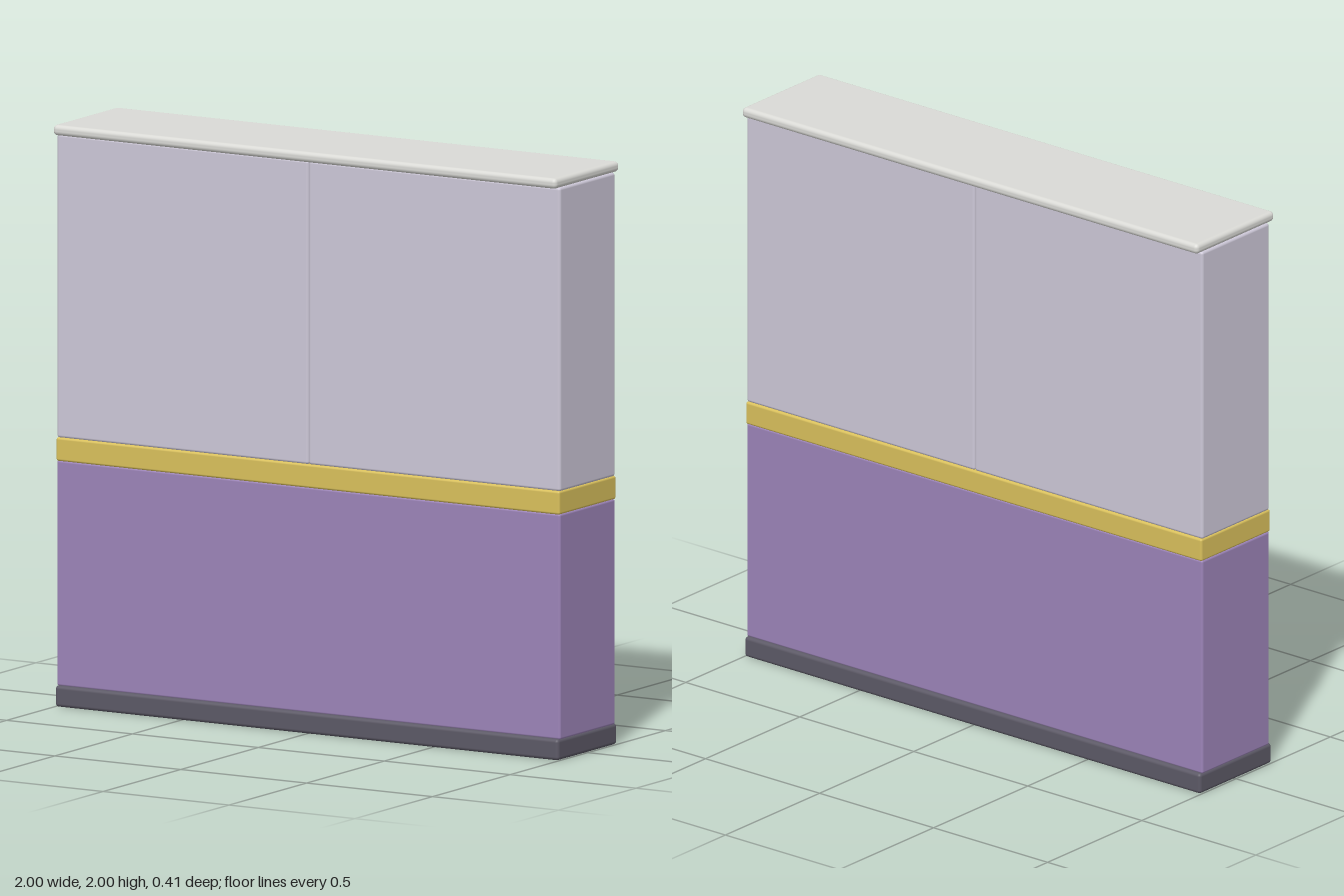
import * as THREE from 'three';
import { RoundedBoxGeometry } from 'three/addons/geometries/RoundedBoxGeometry.js';

const paint = (name, color) => {
  const m = new THREE.MeshStandardMaterial({ color });
  m.name = name;
  return m;
};

export function createModel() {
  const group = new THREE.Group();
  group.name = 'wallSection';

  const charcoal = paint('charcoal', 0x5c5966);
  const purple = paint('purple', 0x9c84b8);
  const gold = paint('gold', 0xd9c05c);
  const lilacGrey = paint('lilacGrey', 0xcdc8d8);
  const paleStone = paint('paleStone', 0xdadad6);

  // Softly rounded block spanning x0..x1 and y0..y1, centred on z
  const block = (name, material, x0, x1, y0, y1, depth, radius) => {
    const mesh = new THREE.Mesh(new RoundedBoxGeometry(x1 - x0, y1 - y0, depth, 3, radius), material);
    mesh.name = name;
    mesh.position.set((x0 + x1) / 2, (y0 + y1) / 2, 0);
    group.add(mesh);
  };

  // Skirting, lower wall and rail
  block('skirting', charcoal, -1, 1, 0, 0.073, 0.382, 0.012);
  block('lowerWall', purple, -1, 1, 0.07, 0.845, 0.357, 0.008);
  block('dadoRail', gold, -1, 1, 0.843, 0.924, 0.367, 0.008);

  // Two upper panels meeting at a rounded seam
  block('upperPanelRight', lilacGrey, -1, 0, 0.922, 1.966, 0.357, 0.01);
  block('upperPanelLeft', lilacGrey, 0, 1, 0.922, 1.966, 0.357, 0.01);

  // Overhanging cap
  block('cap', paleStone, -1, 1, 1.964, 2, 0.414, 0.015);

  return group;
}
